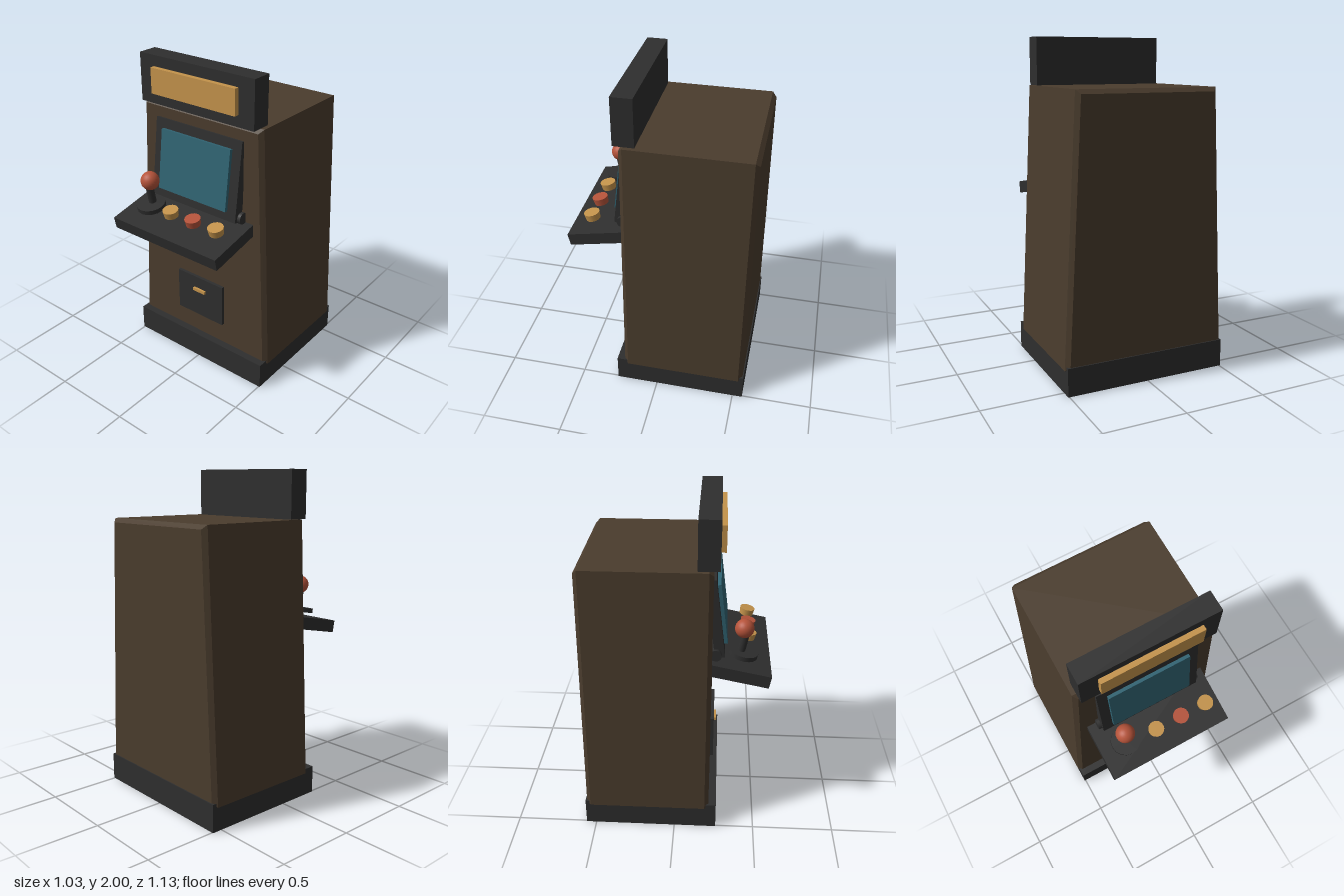
import * as THREE from 'three';

const material = (name, color) => {
  const m = new THREE.MeshStandardMaterial({ color });
  m.name = name;
  return m;
};

export function createModel() {
  const brown = material('brown cabinet', 0x4a3c2d);
  const dark = material('charcoal trim', 0x2e2e2e);
  const amber = material('amber', 0xc4934b);
  const teal = material('teal glass', 0x306372);
  const red = material('red', 0xb5533a);

  const model = new THREE.Group();
  model.name = 'arcadeCabinet';

  const add = (name, geometry, mat, x, y, z, tilt = 0, parent = model) => {
    const mesh = new THREE.Mesh(geometry, mat);
    mesh.name = name;
    mesh.position.set(x, y, z);
    mesh.rotation.x = tilt;
    parent.add(mesh);
    return mesh;
  };
  const box = (w, h, d) => new THREE.BoxGeometry(w, h, d);

  // Tapered body with a narrow bevel on the front and back edges
  const outline = new THREE.Shape([
    new THREE.Vector2(-0.489, 0.17), new THREE.Vector2(0.489, 0.17),
    new THREE.Vector2(0.414, 1.685), new THREE.Vector2(-0.414, 1.685),
  ]);
  const body = new THREE.ExtrudeGeometry(outline, {
    depth: 0.72, bevelEnabled: true, bevelThickness: 0.025, bevelSize: 0.025, bevelSegments: 1,
  });
  add('body', body, brown, 0, 0, -0.53);

  // Plinth
  add('base', box(1.015, 0.17, 0.824), dark, 0, 0.085, -0.15);

  // Sign on top
  add('marquee', box(0.824, 0.29, 0.125), dark, 0, 1.855, 0.1875);
  add('marqueePanel', box(0.61, 0.155, 0.04), amber, 0, 1.857, 0.26);

  // Leaning screen and its frame
  const display = new THREE.Group();
  display.name = 'display';
  display.position.set(0, 1.375, 0.23);
  display.rotation.x = -0.125;
  model.add(display);
  add('screenFrame', box(0.64, 0.49, 0.06), dark, 0, 0, 0, 0, display);
  add('screen', box(0.515, 0.375, 0.03), teal, 0, 0, 0.036, 0, display);

  // Round bar under the screen, showing at both sides of the frame
  const bar = new THREE.CylinderGeometry(0.036, 0.036, 0.68, 16);
  bar.rotateZ(Math.PI / 2);
  add('hingeBar', bar, dark, 0, 1.152, 0.235);

  // Sloping control panel
  const slope = 0.2;
  add('controlPanel', box(0.79, 0.076, 0.4), dark, 0, 1.053, 0.361, slope);

  // Joystick
  add('joystickBase', new THREE.CylinderGeometry(0.088, 0.088, 0.028, 16), dark, -0.235, 1.125, 0.4, slope);
  add('joystickStick', new THREE.CylinderGeometry(0.024, 0.024, 0.17, 12), dark, -0.235, 1.2, 0.398, slope);
  add('joystickBall', new THREE.SphereGeometry(0.057, 24, 16), red, -0.235, 1.285, 0.4);

  // Three buttons
  [amber, red, amber].forEach((mat, i) => {
    const button = new THREE.CylinderGeometry(0.048, 0.043, 0.044, 16);
    add('button', button, mat, -0.045 + i * 0.17, 1.146, 0.432, slope);
  });

  // Coin door and slot
  add('coinDoor', box(0.36, 0.285, 0.04), dark, 0, 0.458, 0.215);
  add('coinSlot', box(0.094, 0.02, 0.03), amber, 0, 0.511, 0.235);

  return model;
}
